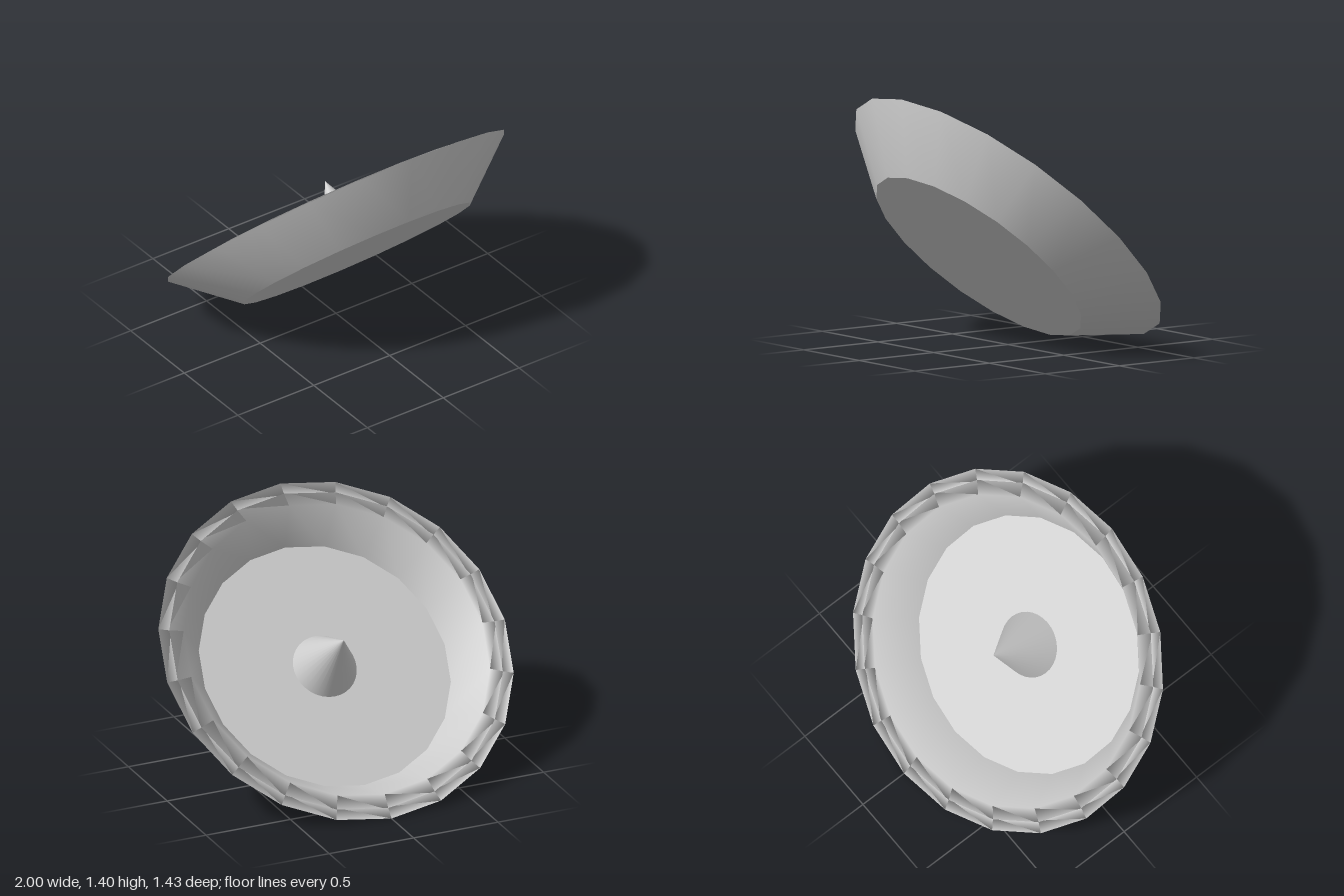
import * as THREE from 'three';

const SIDES = 20;

export function createModel() {
  const model = new THREE.Group();
  model.name = 'tiltedDish';
  const material = new THREE.MeshStandardMaterial({ color: 0xcccccc });
  const thin = new THREE.MeshStandardMaterial({ color: 0xcccccc, side: THREE.DoubleSide });

  // Everything is built around the dish axis, then tilted backwards
  const dish = new THREE.Group();
  dish.name = 'dish';
  dish.position.y = 0.7;
  dish.rotation.x = -0.772;
  model.add(dish);

  const add = (name, geometry, y = 0, mat = material) => {
    const mesh = new THREE.Mesh(geometry, mat);
    mesh.name = name;
    mesh.position.y = y;
    dish.add(mesh);
    return mesh;
  };
  const lathe = (profile) =>
    new THREE.LatheGeometry(profile.map(([r, y]) => new THREE.Vector2(r, y)), SIDES);

  // Flared outer wall with its flat rim
  add('outerWall', lathe([[0.67, -0.282], [1, 0], [0.93, 0.002]]), 0, thin);
  // Inner liner: outer skin, raised lip that overhangs, sloping inner wall
  add('liner', lathe([[0.66, -0.26], [0.948, 0], [0.862, 0.016], [0.708, -0.209]]), 0, thin);

  // Flat discs closing the underside and the inside
  add('base', new THREE.CircleGeometry(0.67, SIDES).rotateX(Math.PI / 2), -0.282);
  add('floor', new THREE.CircleGeometry(0.71, SIDES).rotateX(-Math.PI / 2), -0.207);

  // Central pointed feed
  const height = 0.351;
  add('feedCone', new THREE.ConeGeometry(0.18, height, 32, 1, true), -0.207 + height / 2);

  return model;
}
